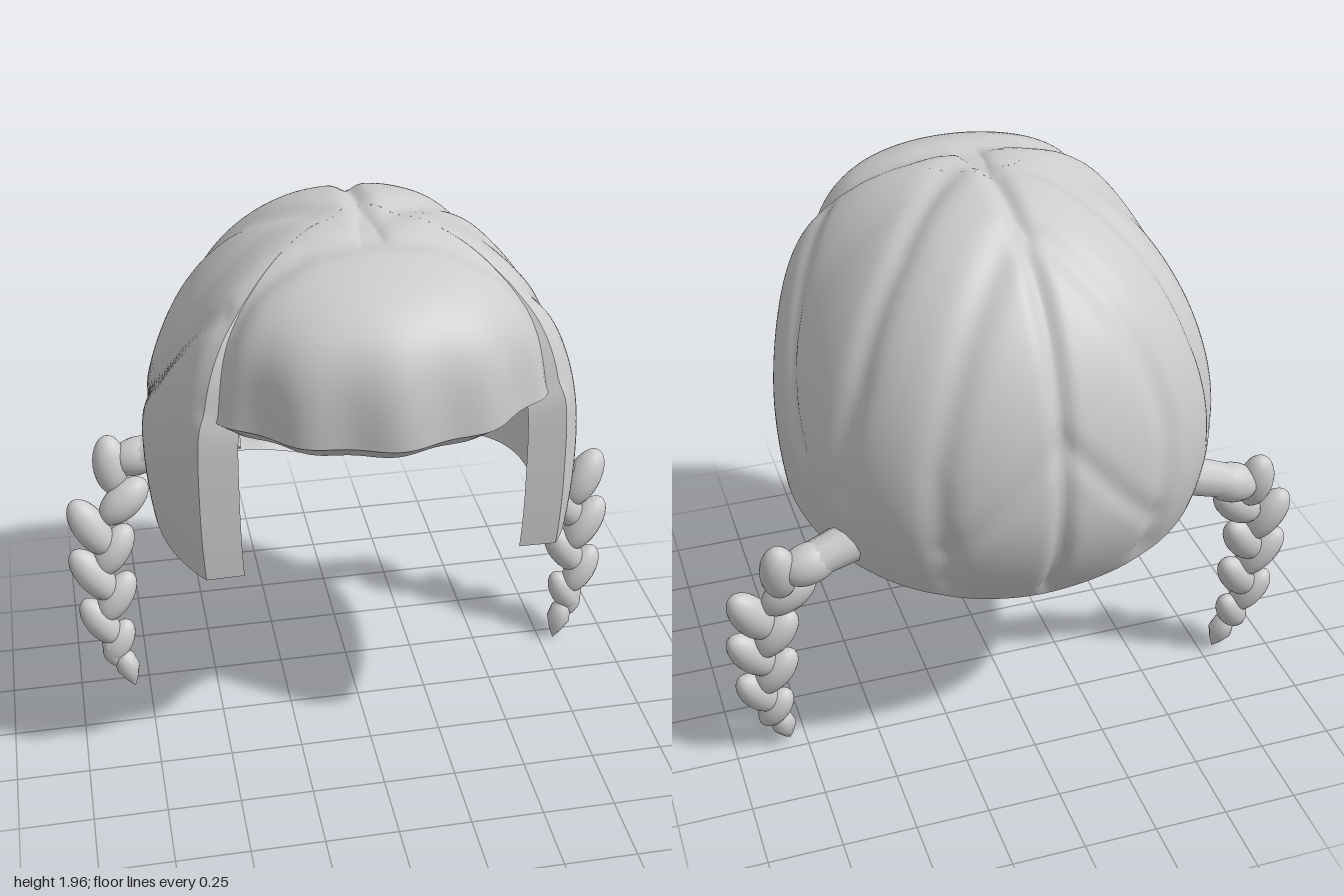
import * as THREE from 'three';
import { mergeGeometries } from 'three/addons/utils/BufferGeometryUtils.js';

const V = (x, y, z) => new THREE.Vector3(x, y, z);
const RAD = Math.PI / 180;
const MID = 1.15, TOP = 1.965;
const CENTRE = V(0, MID, 0);

// Strand grooves on the +x half, mirrored by |x|: width, depth, path
const GROOVES = [
  [0.03, 0.025, [V(0, 1.95, 0.24), V(0, 1.95, -0.1), V(0, 1.75, -0.5), V(0, 1.35, -0.72), V(0, 0.75, -0.6)]],
  [0.05, 0.022, [V(0, 1.95, 0.26), V(0.2, 1.92, 0.27), V(0.38, 1.8, 0.32), V(0.5, 1.6, 0.42), V(0.53, 1.5, 0.44)]],
  [0.04, 0.016, [V(0.47, 1.75, 0.3), V(0.66, 1.45, 0.05), V(0.7, 1.2, -0.2)]],
  [0.05, 0.018, [V(0, 1.94, 0.18), V(0.35, 1.8, -0.2), V(0.55, 1.5, -0.38), V(0.64, 1.15, -0.4)]],
  [0.05, 0.018, [V(0.04, 1.9, -0.3), V(0.25, 1.65, -0.52), V(0.36, 1.3, -0.6), V(0.33, 0.85, -0.58)]],
  [0.04, 0.012, [V(0, 1.4, -0.72), V(0.2, 1.15, -0.68), V(0.33, 1.0, -0.6)]],
].map(([w, d, path]) => [w, d, path.map(p => p.sub(CENTRE).setLength(0.75))]);

function pressGrooves(p) {
  const dir = p.clone().sub(CENTRE).normalize();
  const q = dir.clone().multiplyScalar(0.75);
  q.x = Math.abs(q.x);
  const near = V(0, 0, 0), line = new THREE.Line3();
  let total = 0;
  for (const [w, d, path] of GROOVES) {
    let dist = 9;
    for (let i = 1; i < path.length; i++) {
      line.set(path[i - 1], path[i]).closestPointToPoint(q, true, near);
      dist = Math.min(dist, near.setLength(0.75).distanceTo(q));
    }
    total += d * Math.exp(-((dist / w) ** 2));
  }
  return p.addScaledVector(dir, -Math.min(total, 0.03));
}

// Head radius at an angle from +z and a height
function radius(a, y, fringe) {
  const c = Math.cos(a), s2 = Math.sin(a) ** 2, c2 = c * c;
  let base = 0.72 + 0.025 * Math.sin(2 * a) ** 2;
  if (fringe) {
    const low = THREE.MathUtils.smoothstep(1.9 - y, 0, 0.4);
    base += low * (0.012 * Math.cos(a * 15) - 0.045 * Math.sin(2 * a) ** 2) - 0.003;
  }
  if (y > MID) {
    const power = 1.72 * s2 + (c > 0 ? 6.2 : 2.2) * c2;
    return base * Math.sqrt(Math.max(0, 1 - ((y - MID) / (TOP - MID)) ** power));
  }
  const taper = 0.08 * s2 + (c > 0 ? 0 : 0.23) * c2;
  return base * (1 - taper * ((MID - y) / 0.43) ** 2);
}

// Smooth grid surface from a point function of u and v
function grid(fn, nu, nv, flip = false) {
  const pos = [], index = [];
  for (let j = 0; j <= nv; j++)
    for (let i = 0; i <= nu; i++) pos.push(...fn(i / nu, j / nv).toArray());
  for (let j = 0; j < nv; j++)
    for (let i = 0; i < nu; i++) {
      const a = j * (nu + 1) + i, b = a + nu + 1;
      if (flip) index.push(a, b + 1, b, a, a + 1, b + 1);
      else index.push(a, b, b + 1, a, b + 1, a + 1);
    }
  const g = new THREE.BufferGeometry();
  g.setAttribute('position', new THREE.Float32BufferAttribute(pos, 3));
  g.setIndex(index);
  g.computeVertexNormals();
  return g;
}

// Thick hair shell: outside, inside and the cut edges between them
function hairShell({ mid, half, innerHalf, bottom, lip, fringe, nu, nv }) {
  const height = (a, v) => TOP - (TOP - bottom(a)) * (1 - Math.cos(v * Math.PI / 2));
  const at = (a, y, r) => V(r * Math.sin(a), y, r * Math.cos(a));
  const outer = (u, v) => {
    const a = mid + (2 * u - 1) * half, y = height(a, v);
    return pressGrooves(at(a, y, radius(a, y, fringe)));
  };
  const inner = (u, v) => {
    const a = mid + (2 * u - 1) * innerHalf, y = height(a, v);
    const p = at(a, y, radius(a, y, fringe) - 0.13 * radius(a, Math.max(y, MID), fringe));
    if (y > MID) p.y = MID + (y - MID) * 0.88 - lip * v ** 6;
    else p.y += 0.05 * Math.max(0, -Math.cos(a)) * ((MID - y) / 0.43) ** 2;
    return pressGrooves(p);
  };
  const across = (u, v, t) => outer(u, v).lerp(inner(u, v), t);
  return mergeGeometries([
    grid(outer, nu, nv),
    grid(inner, nu, nv, true),
    grid((u, v) => across(u, 1, v), nu, 1),
    grid((u, v) => across(0, v, u), 1, nv, true),
    grid((u, v) => across(1, v, u), 1, nv),
  ]);
}

export function createModel() {
  const model = new THREE.Group();
  model.name = 'braidedHair';
  const hair = new THREE.MeshStandardMaterial({ color: 0xcccccc });
  hair.name = 'hair grey';
  hair.side = THREE.DoubleSide;
  const add = (parent, geometry, name) => {
    const m = new THREE.Mesh(geometry, hair);
    m.name = name;
    parent.add(m);
    return m;
  };

  // Back and sides, dipping to a point at the nape
  add(model, hairShell({
    mid: Math.PI, half: 128.4 * RAD, innerHalf: 135 * RAD, lip: 0, fringe: false, nu: 180, nv: 64,
    bottom: a => 0.9 - (Math.cos(a) < 0 ? 0.19 * (1 - Math.abs(Math.sin(a)) ** 1.5) : 0),
  }), 'backAndSides');

  // Fringe over the forehead
  add(model, hairShell({
    mid: 0, half: 52.2 * RAD, innerHalf: 52.2 * RAD, lip: 0.035, fringe: true, nu: 80, nv: 40,
    bottom: () => 1.47,
  }), 'fringe');

  // Braids: x, y, z, tilt, half length, half width
  const strands = [
    [0.825, 0.865, -0.37, 0.05, 0.11, 0.062],
    [0.79, 0.74, -0.32, -0.85, 0.11, 0.064],
    [0.915, 0.655, -0.30, 0.5, 0.12, 0.064],
    [0.84, 0.555, -0.29, -0.6, 0.11, 0.06],
    [0.92, 0.47, -0.27, 0.6, 0.12, 0.062],
    [0.845, 0.37, -0.26, -0.6, 0.11, 0.058],
    [0.91, 0.28, -0.245, 0.55, 0.105, 0.057],
    [0.85, 0.19, -0.235, -0.5, 0.09, 0.052],
    [0.875, 0.17, -0.225, 0.15, 0.075, 0.037],
  ];
  for (const side of [1, -1]) {
    const braid = new THREE.Group();
    braid.name = side > 0 ? 'leftBraid' : 'rightBraid';
    model.add(braid);

    // Root passing through the shell
    const from = V(side * 0.38, 0.99, -0.34), to = V(side * 0.73, 0.89, -0.38);
    const root = add(braid, new THREE.CylinderGeometry(0.06, 0.08, from.distanceTo(to), 10), 'braidRoot');
    root.position.copy(from).lerp(to, 0.5);
    root.quaternion.setFromUnitVectors(V(0, 1, 0), to.clone().sub(from).normalize());
    const knot = add(braid, new THREE.SphereGeometry(1, 16, 12), 'braidKnot');
    knot.scale.set(0.1, 0.07, 0.065);
    knot.position.set(side * 0.73, 0.885, -0.38);
    knot.rotation.z = side * -0.3;

    strands.forEach(([x, y, z, tilt, len, wide], i) => {
      const s = add(braid, new THREE.SphereGeometry(1, 18, 14), 'strand' + (i + 1));
      s.scale.set(wide, len, wide * 0.9);
      s.position.set(side * x, y, z);
      s.rotation.set(-0.2, 0, -side * tilt);
    });

    // Pointed end of the braid
    const profile = [[0, -0.085], [0.022, -0.05], [0.044, 0], [0.036, 0.05], [0, 0.09]];
    const tip = add(braid, new THREE.LatheGeometry(profile.map(p => new THREE.Vector2(...p)), 12), 'braidTip');
    tip.position.set(side * 0.825, 0.085, -0.21);
    tip.rotation.set(-0.15, 0, -side * 0.25);
  }
  return model;
}
